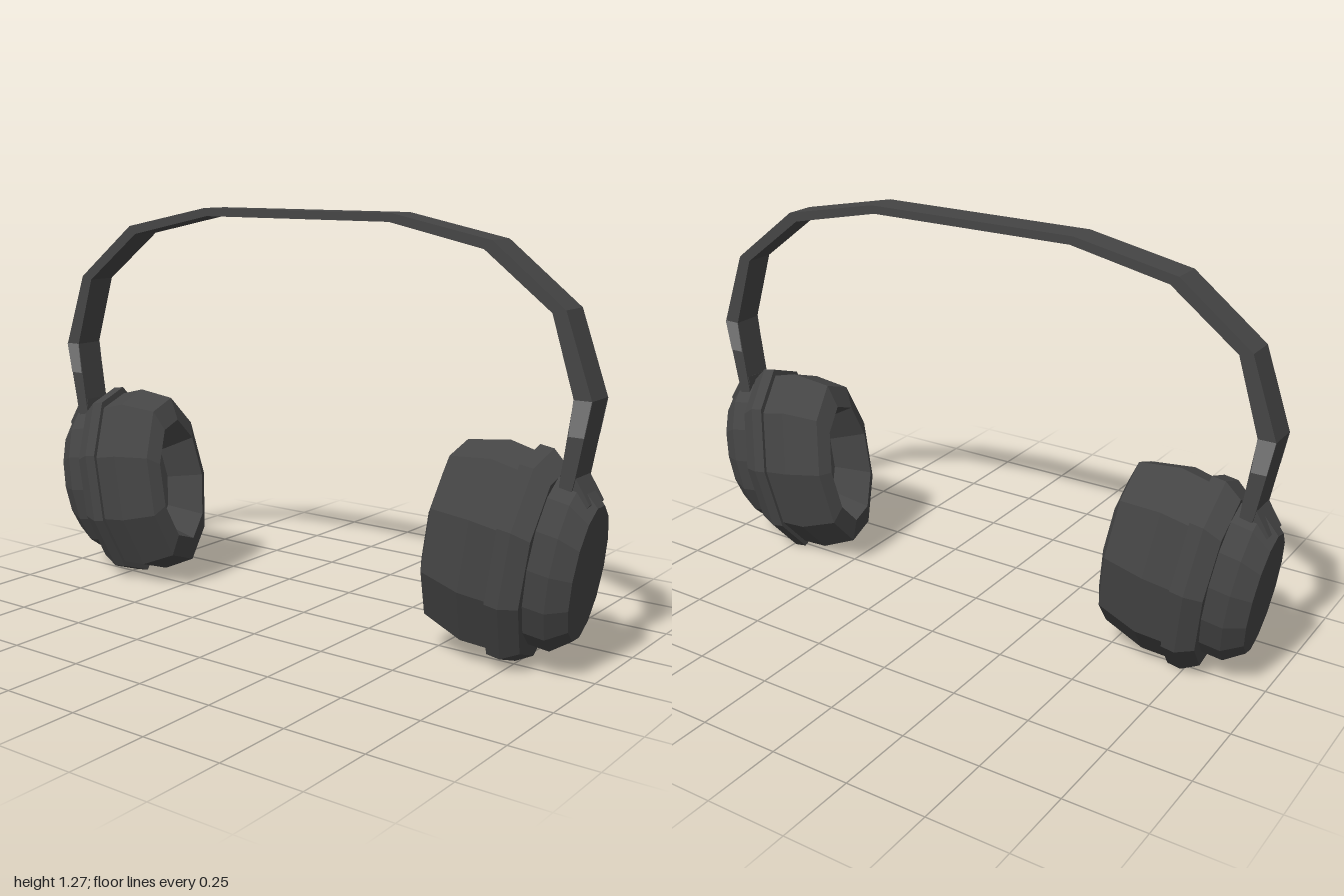
import * as THREE from 'three';

const dark = new THREE.MeshStandardMaterial({ color: 0x454545, flatShading: true });
dark.name = 'charcoal plastic';
const light = new THREE.MeshStandardMaterial({ color: 0x787878, flatShading: true });
light.name = 'grey metal';

const TILT = 0.155; // lean of the ear cups, in radians
const FLATTEN = 0.49; // cup depth relative to its height
const MID_Z = 0.004;

function addMesh(parent, name, geometry, material) {
  const mesh = new THREE.Mesh(geometry, material);
  mesh.name = name;
  parent.add(mesh);
}

// Oval turned part; profile points are [radius, distance along the cup axis]
function turned(profile, sides, side, centre) {
  const start = side > 0 ? 0 : Math.PI / 9;
  const pts = profile.map(([r, s]) => new THREE.Vector2(r, s));
  const geo = new THREE.LatheGeometry(pts, sides, start);
  geo.scale(1, 1, FLATTEN);
  const up = new THREE.Vector3(side * Math.sin(TILT), Math.cos(TILT), 0);
  const out = new THREE.Vector3(side * Math.cos(TILT), -Math.sin(TILT), 0);
  const m = new THREE.Matrix4().makeBasis(up, out, new THREE.Vector3(0, 0, -side));
  m.setPosition(up.x * centre, up.y * centre, MID_Z);
  return geo.applyMatrix4(m);
}

// Flat outline in x and y, extruded evenly about the middle depth
function slab(points, depth, z = MID_Z) {
  const shape = new THREE.Shape(points.map(([x, y]) => new THREE.Vector2(x, y)));
  const geo = new THREE.ExtrudeGeometry(shape, { depth, bevelEnabled: false });
  return geo.translate(0, 0, z - depth / 2);
}

export function createModel() {
  const model = new THREE.Group();
  model.name = 'headphones';

  // Headband: one bent strip, mirrored outline
  const outer = [[0.915, 0.46], [0.943, 0.58], [0.983, 0.79], [0.9, 1.025], [0.675, 1.2], [0.35, 1.265]];
  const inner = [[0.885, 0.46], [0.9, 0.58], [0.93, 0.79], [0.86, 1.015], [0.65, 1.175], [0.34, 1.24]];
  const mirror = (pts) => pts.map(([x, y]) => [-x, y]);
  const outline = [...outer, ...mirror(outer).reverse(), ...mirror(inner), ...[...inner].reverse()];
  addMesh(model, 'headband', slab(outline, 0.098), dark);

  for (const side of [1, -1]) {
    const cup = new THREE.Group();
    cup.name = side > 0 ? 'leftEarCup' : 'rightEarCup';
    model.add(cup);

    // Cushion with a recessed opening on the inside
    addMesh(cup, 'earCushion', turned([
      [0, 0.58], [0.15, 0.58], [0.205, 0.445], [0.28, 0.468],
      [0.316, 0.6], [0.306, 0.7], [0, 0.7],
    ], 9, side, 0.434), dark);

    // Ring between cushion and shell
    addMesh(cup, 'cupRing', turned([
      [0, 0.69], [0.327, 0.69], [0.327, 0.733], [0.288, 0.786], [0, 0.786],
    ], 9, side, 0.436), dark);

    // Outer shell with a bevelled flat face
    addMesh(cup, 'outerShell', turned([
      [0, 0.78], [0.255, 0.78], [0.252, 0.852], [0.2, 0.91], [0, 0.91],
    ], 14, side, 0.453), dark);

    // Foot joining the headband to the shell
    const foot = [[0.89, 0.46], [0.95, 0.46], [0.985, 0.51], [0.938, 0.585], [0.9, 0.6]];
    addMesh(cup, 'bandFoot', slab(foot.map(([x, y]) => [side * x, y]), 0.09), dark);

    // Thin metal plates on the front and back of the band
    const plate = [[0.919, 0.69], [0.964, 0.69], [0.983, 0.79], [0.93, 0.79]];
    for (const face of [1, -1]) {
      const geo = slab(plate.map(([x, y]) => [side * x, y]), 0.004, MID_Z + face * 0.049);
      addMesh(model, 'sliderPlate', geo, light);
    }
  }
  return model;
}
